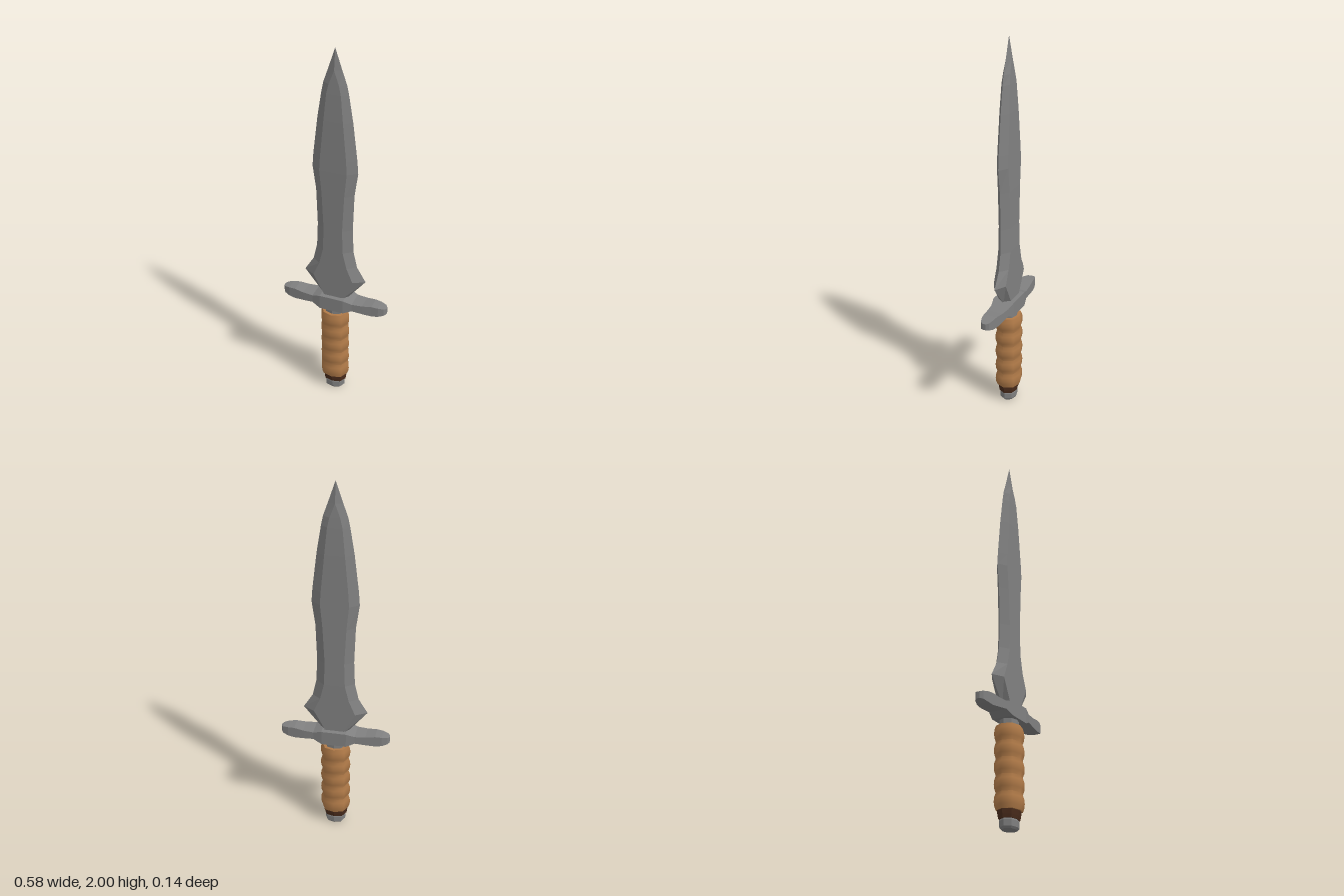
import * as THREE from 'three';
import { toCreasedNormals } from 'three/addons/utils/BufferGeometryUtils.js';

// Skin a list of equal-length rings and close both ends
function loft(rings, crease = 0) {
  const pos = [];
  const tri = (a, b, c) => {
    const n = b.clone().sub(a).cross(c.clone().sub(a));
    if (n.length() > 1e-9) for (const p of [a, b, c]) pos.push(p.x, p.y, p.z);
  };
  const R = rings.map(r => r.map(p => new THREE.Vector3(...p)));
  const n = R[0].length, last = R[R.length - 1];
  for (let i = 0; i < R.length - 1; i++) {
    for (let k = 0; k < n; k++) {
      const j = (k + 1) % n;
      tri(R[i][k], R[i][j], R[i + 1][j]);
      tri(R[i][k], R[i + 1][j], R[i + 1][k]);
    }
  }
  for (let k = 1; k < n - 1; k++) {
    tri(R[0][0], R[0][k + 1], R[0][k]);
    tri(last[0], last[k], last[k + 1]);
  }
  const g = new THREE.BufferGeometry();
  g.setAttribute('position', new THREE.Float32BufferAttribute(pos, 3));
  g.computeVertexNormals();
  return crease ? toCreasedNormals(g, crease) : g;
}

// Eight-sided grip cross-section, slightly squarer than an ellipse
const section = [[0, 1], [0.7, 0.77], [1, 0], [0.7, -0.77], [0, -1], [-0.7, -0.77], [-1, 0], [-0.7, 0.77]];
const ring = (y, rx, rz) => section.map(([x, z]) => [x * rx, y, z * rz]);

export function createModel() {
  const steel = new THREE.MeshStandardMaterial({ color: 0x808080 });
  const leather = new THREE.MeshStandardMaterial({ color: 0xb07a48 });
  const darkLeather = new THREE.MeshStandardMaterial({ color: 0x4a2c1c });
  steel.name = 'steel';
  leather.name = 'leather';
  darkLeather.name = 'dark leather';

  const group = new THREE.Group();
  group.name = 'dagger';
  const add = (name, geometry, material) => {
    const mesh = new THREE.Mesh(geometry, material);
    mesh.name = name;
    group.add(mesh);
  };

  // Blade: height, edge half-width, flat half-width, half-thickness
  const blade = [
    [0.60, 0.065, 0.04, 0.034], [0.73, 0.168, 0.108, 0.034], [0.81, 0.12, 0.075, 0.034],
    [0.90, 0.10, 0.054, 0.034], [1.03, 0.095, 0.05, 0.033], [1.23, 0.102, 0.06, 0.032],
    [1.36, 0.12, 0.072, 0.031], [1.43, 0.115, 0.068, 0.030], [1.63, 0.092, 0.05, 0.027],
    [1.77, 0.07, 0.037, 0.022], [1.82, 0.06, 0.026, 0.019], [1.89, 0.036, 0, 0.014],
    [2.0, 0, 0, 0],
  ];
  add('blade', loft(blade.map(([y, o, i, t]) =>
    [[-i, y, t], [i, y, t], [o, y, 0], [i, y, -t], [-i, y, -t], [-o, y, 0]])), steel);

  // Crossguard: x, bottom, top, half-depth, mirrored about the middle
  const half = [
    [0.065, 0.54, 0.618, 0.058], [0.11, 0.56, 0.602, 0.048], [0.165, 0.553, 0.602, 0.042],
    [0.215, 0.548, 0.608, 0.036], [0.25, 0.552, 0.605, 0.032], [0.278, 0.56, 0.6, 0.022],
    [0.288, 0.563, 0.597, 0.008],
  ];
  const guard = [...half.map(([x, ...r]) => [-x, ...r]).reverse(), ...half];
  add('crossguard', loft(guard.map(([x, b, t, d]) =>
    [[x, t, -d], [x, t, d], [x, b, d], [x, b, -d]])), steel);

  // Steel collar between guard and grip
  add('collar', loft([ring(0.49, 0.054, 0.044), ring(0.55, 0.054, 0.044)]), steel);

  // Leather grip: five rounded wraps
  const grip = [], bands = 5, y0 = 0.09, y1 = 0.51;
  for (let b = 0; b < bands; b++) {
    for (const [t, s] of [[0, 0.88], [0.25, 0.975], [0.5, 1], [0.75, 0.975]]) {
      grip.push(ring(y0 + (y1 - y0) * (b + t) / bands, 0.08 * s, 0.068 * s));
    }
  }
  grip.push(ring(y1, 0.07, 0.06));
  add('grip', loft(grip, 0.9), leather);

  // Dark ferrule below the grip
  add('ferrule', loft([
    ring(0.048, 0.06, 0.045), ring(0.065, 0.064, 0.049), ring(0.1, 0.068, 0.054),
  ]), darkLeather);

  // Pommel cap with chamfered foot
  add('pommel', loft([
    ring(0, 0.046, 0.036), ring(0.01, 0.054, 0.043), ring(0.04, 0.055, 0.044), ring(0.052, 0.05, 0.04),
  ]), steel);

  return group;
}
